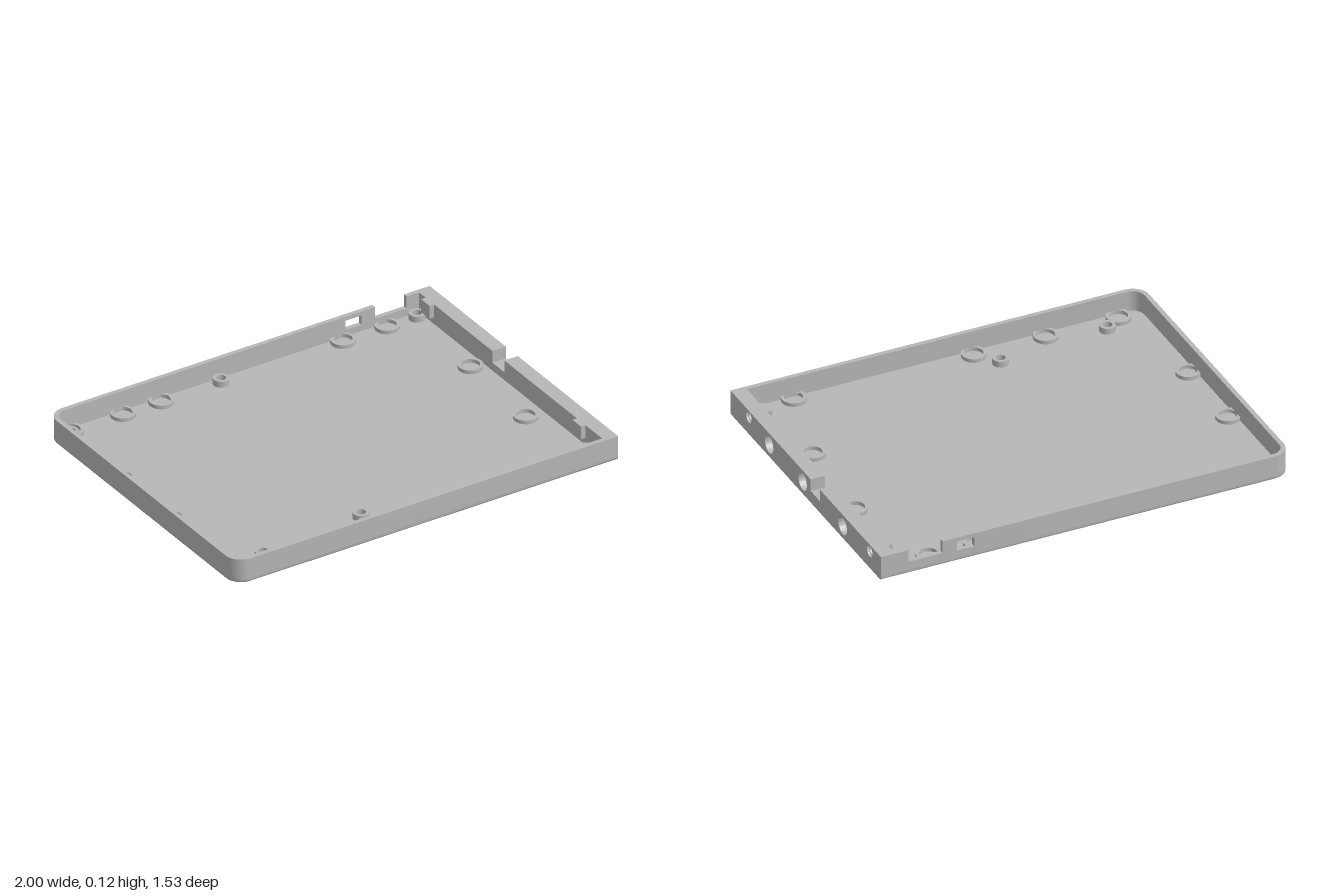
import * as THREE from 'three';
import { toCreasedNormals } from 'three/addons/utils/BufferGeometryUtils.js';

const HALF_Z = 0.763, HEIGHT = 0.12, FLOOR = 0.02, WALL = 0.022, INNER_X = 0.93;

// Plan outline [x, z]: front edge, two rounded left corners, back edge
function outline(inset, xFront, xBack) {
  const r = 0.08 - inset, cx = -0.92, cz = HALF_Z - 0.08, n = 10;
  const pts = [[xFront, HALF_Z - inset]];
  for (const [side, start] of [[1, Math.PI / 2], [-1, Math.PI]]) {
    for (let i = 0; i <= n; i++) {
      const a = start + (i / n) * Math.PI / 2;
      pts.push([cx + r * Math.cos(a), side * cz + r * Math.sin(a)]);
    }
  }
  pts.push([xBack, -(HALF_Z - inset)]);
  return pts;
}

const polygon = (pts) => new THREE.Shape(pts.map(([x, y]) => new THREE.Vector2(x, y)));

function circle(x, y, r) {
  const p = new THREE.Path();
  p.absarc(x, y, r, 0, Math.PI * 2, true);
  return p;
}

function extrude(shape, depth) {
  return new THREE.ExtrudeGeometry(shape, { depth, bevelEnabled: false, curveSegments: 20 });
}

// Closed floor slab lofted through plan outlines, with a rounded lower edge
function floorGeometry() {
  const rows = [[0.012, 0], [0.006, 0.0016], [0.0016, 0.006], [0, 0.012], [0, FLOOR]];
  const pos = [], idx = [];
  for (const [inset, y] of rows) for (const [x, z] of outline(inset, 1, 1)) pos.push(x, y, z);
  const n = pos.length / 3 / rows.length, last = (rows.length - 1) * n;
  const low = pos.length / 3, high = low + 1;
  pos.push(0, 0, 0, 0, FLOOR, 0);
  for (let j = 0; j < n; j++) {
    const k = (j + 1) % n;
    for (let i = 0; i < rows.length - 1; i++) {
      const a = i * n + j, b = i * n + k;
      idx.push(a, a + n, b, b, a + n, b + n);
    }
    idx.push(low, j, k, high, last + k, last + j);
  }
  const g = new THREE.BufferGeometry();
  g.setAttribute('position', new THREE.Float32BufferAttribute(pos, 3));
  g.setIndex(idx);
  return g;
}

// Hollow round boss on the floor, trimmed where it meets a wall
function bossGeometry(x, z, outer, inner, height) {
  const s = new THREE.Shape();
  s.absarc(0, 0, outer, 0, Math.PI * 2, false);
  s.holes.push(circle(0, 0, inner));
  const g = extrude(s, height).rotateX(-Math.PI / 2).translate(x, FLOOR, z);
  const p = g.attributes.position;
  for (let i = 0; i < p.count; i++) {
    p.setX(i, Math.max(p.getX(i), -0.982));
    p.setZ(i, THREE.MathUtils.clamp(p.getZ(i), -0.743, 0.743));
  }
  return g;
}

export function createModel() {
  const model = new THREE.Group();
  model.name = 'tray';
  const grey = new THREE.MeshStandardMaterial({ color: 0xb6b6b6 });
  grey.name = 'grey plastic';
  const add = (name, geometry) => {
    const mesh = new THREE.Mesh(toCreasedNormals(geometry, 0.6), grey);
    mesh.name = name;
    model.add(mesh);
  };

  add('floor', floorGeometry());

  // Thin wall round the front, left and most of the back
  const split = 0.4;
  const rim = [...outline(0, INNER_X, split), ...outline(WALL, INNER_X, split).reverse()];
  add('rimWall', extrude(polygon(rim.map(([x, z]) => [x, -z])), HEIGHT - FLOOR)
    .rotateX(-Math.PI / 2).translate(0, FLOOR, 0));

  // Rest of the back wall, with a notch and a small window
  const back = polygon([[split, FLOOR], [INNER_X, FLOOR], [INNER_X, HEIGHT], [0.865, HEIGHT],
    [0.865, 0.06], [0.7, 0.06], [0.7, HEIGHT], [split, HEIGHT]]);
  back.holes.push(new THREE.Path([[0.545, 0.053], [0.545, 0.1], [0.63, 0.1], [0.63, 0.053]]
    .map(([x, y]) => new THREE.Vector2(x, y))));
  add('backWallWithPort', extrude(back, WALL).translate(0, 0, -HALF_Z));

  // Thick end wall: drilled outer layer and solid inner layer, both notched
  const endShape = () => polygon([[-HALF_Z, FLOOR], [HALF_Z, FLOOR], [HALF_Z, HEIGHT],
    [0.147, HEIGHT], [0.147, 0.06], [0.051, 0.06], [0.051, HEIGHT], [-HALF_Z, HEIGHT]]);
  const drilled = endShape();
  const screwZ = [0.575, -0.649];
  for (const z of [0.37, 0.03, -0.376]) drilled.holes.push(circle(-z, 0.0625, 0.0425));
  for (const z of screwZ) drilled.holes.push(circle(-z, 0.088, 0.028));
  const turn = (g, x) => g.rotateY(Math.PI / 2).translate(x, 0, 0);
  add('endWallOuter', turn(extrude(drilled, 0.05), 0.95));
  add('endWallInner', turn(extrude(endShape(), 0.02), INNER_X));

  // Stepped screw holes, each backed by a tab on the inside
  for (const z of screwZ) {
    const step = new THREE.Shape();
    step.absarc(-z, 0.088, 0.028, 0, Math.PI * 2, false);
    step.holes.push(circle(-z, 0.088, 0.023));
    add('screwHoleStep', turn(extrude(step, 0.04), 0.95));
    add('screwTab', new THREE.BoxGeometry(0.025, 0.065, 0.07)
      .translate(0.919, 0.0875, z - 0.004));
  }

  // Magnet sockets
  const sockets = [[-0.91, -0.705], [-0.64, -0.705], [-0.44, -0.705], [0.51, -0.705],
    [0.74, -0.705], [-0.94, -0.243], [-0.94, 0.16], [0.863, -0.22], [0.835, 0.27],
    [-0.86, 0.7], [-0.505, 0.7], [-0.155, 0.7], [0.715, 0.715]];
  for (const [x, z] of sockets) add('magnetSocket', bossGeometry(x, z, 0.057, 0.042, 0.018));

  // Screw posts
  const posts = [[-0.93, -0.68], [-0.13, -0.7], [0.893, -0.7],
    [-0.775, 0.637], [-0.235, 0.595], [0.893, 0.663]];
  for (const [x, z] of posts) add('screwPost', bossGeometry(x, z, 0.037, 0.022, 0.03));

  return model;
}
